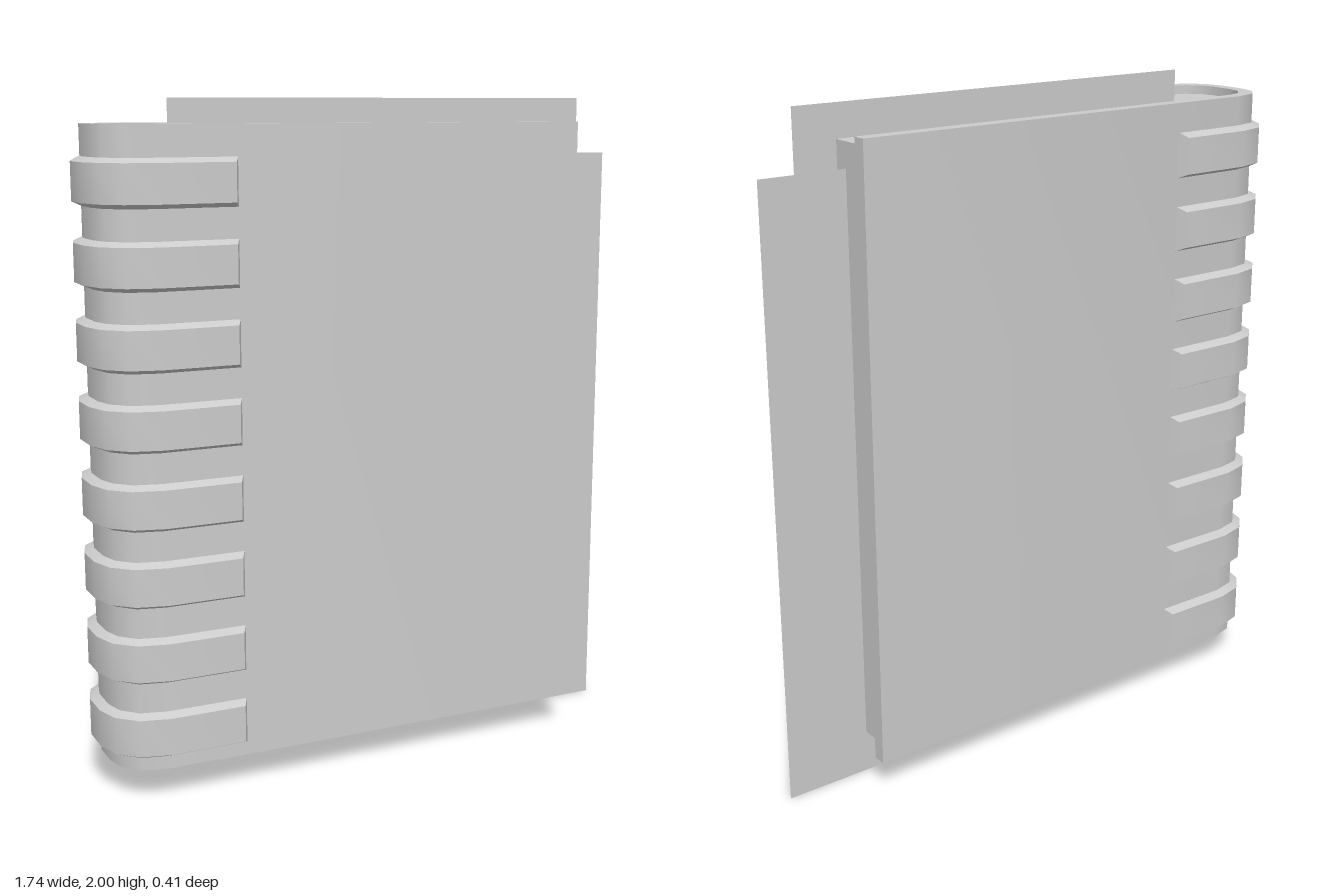
import * as THREE from 'three';
import { toCreasedNormals } from 'three/addons/utils/BufferGeometryUtils.js';

const CREASE = 0.75;
const grey = new THREE.MeshStandardMaterial({ color: 0xcccccc });
const paper = new THREE.MeshStandardMaterial({ color: 0xcccccc, side: THREE.DoubleSide });

// Front half of each rounded spine outline as [x, z], from the straight side to the spine
const OUTER = [[-0.706, 0.175], [-0.785, 0.155], [-0.83, 0.105], [-0.845, 0.045]];
const INNER = [[-0.706, 0.133], [-0.757, 0.12], [-0.794, 0.08], [-0.804, 0.037]];
const BAND = [[-0.706, 0.203], [-0.794, 0.18], [-0.85, 0.126], [-0.873, 0.05]];

// Full U outline: front edge at endX, round the spine, back edge at endX
function uPath(half, endX) {
  const front = [[endX, half[0][1]], ...half];
  return [...front, ...front.map(([x, z]) => [x, -z]).reverse()];
}

function extrudeUp(points, y0, y1) {
  const shape = new THREE.Shape(points.map(([x, z]) => new THREE.Vector2(x, z)));
  const geo = new THREE.ExtrudeGeometry(shape, { depth: y1 - y0, bevelEnabled: false });
  geo.rotateX(-Math.PI / 2).translate(0, y0, 0);
  return toCreasedNormals(geo, CREASE);
}

// Raised strap wrapped round the spine, with chamfered edges and ends
function bandGeometry() {
  const base = uPath(OUTER, -0.465);
  const top = uPath(BAND, -0.48);
  const pos = [];
  const idx = [];
  base.forEach(([bx, bz], i) => {
    const [tx, tz] = top[i];
    pos.push(bx, -0.068, bz, tx, -0.055, tz, tx, 0.055, tz, bx, 0.068, bz);
    if (i === 0) return;
    for (let k = 0; k < 3; k++) {
      const a = (i - 1) * 4 + k;
      const d = i * 4 + k;
      idx.push(a, a + 1, d + 1, a, d + 1, d);
    }
  });
  const e = (base.length - 1) * 4;
  idx.push(0, 2, 1, 0, 3, 2, e, e + 1, e + 2, e, e + 2, e + 3);
  const geo = new THREE.BufferGeometry();
  geo.setAttribute('position', new THREE.Float32BufferAttribute(pos, 3));
  geo.setIndex(idx);
  return toCreasedNormals(geo, CREASE);
}

export function createModel() {
  const book = new THREE.Group();
  book.name = 'book';
  const add = (name, geo, mat = grey) => {
    const mesh = new THREE.Mesh(geo, mat);
    mesh.name = name;
    book.add(mesh);
    return mesh;
  };

  // Cover wrapping round the spine, open at top, bottom and fore edge
  const coverOutline = [...uPath(OUTER, 0.635), ...uPath(INNER, 0.635).reverse()];
  add('cover', extrudeUp(coverOutline, 0.1, 1.93));

  // Page block, slightly recessed
  add('pages', extrudeUp(uPath(INNER, 0.605), 0.13, 1.903));

  // Straps on the spine
  const band = bandGeometry();
  for (let i = 0; i < 8; i++) {
    add('spineBand' + (i + 1), band).position.y = 0.207 + i * 0.2238;
  }

  // Loose sheets sticking out of the pages
  const sheet = (name, x0, x1, y0, y1, z) => {
    const mesh = add(name, new THREE.PlaneGeometry(x1 - x0, y1 - y0), paper);
    mesh.position.set((x0 + x1) / 2, (y0 + y1) / 2, z);
  };
  sheet('upperLooseSheet', -0.61, 0.737, 0.173, 2, 0.01);
  sheet('lowerLooseSheet', -0.475, 0.87, 0, 1.83, -0.035);

  return book;
}
